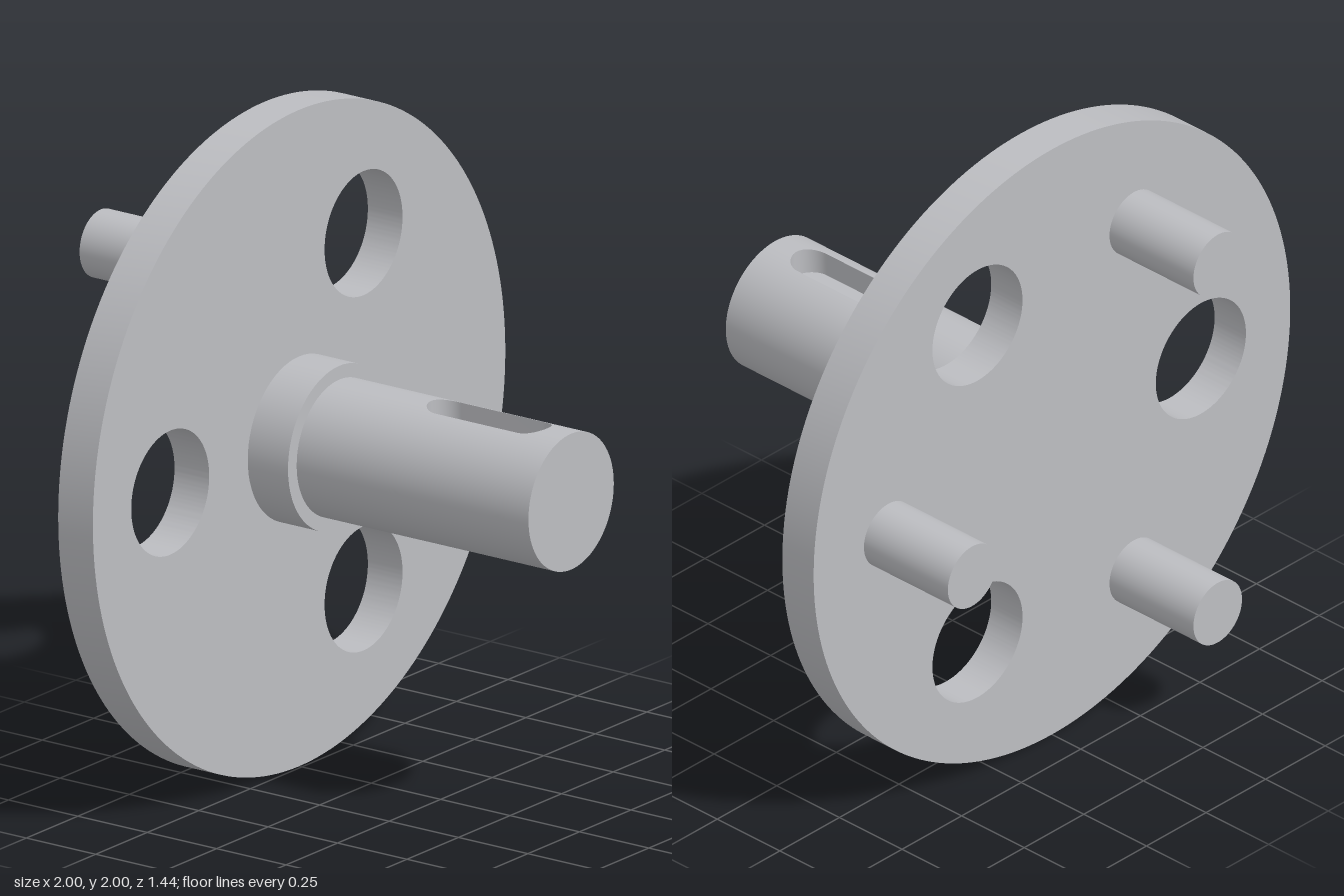
import * as THREE from 'three';
import { toCreasedNormals } from 'three/addons/utils/BufferGeometryUtils.js';

const AXIS_Y = 1;
const SHAFT_R = 0.207, SHAFT_BACK = -0.12, SHAFT_FRONT = 0.72;
const SLOT_HALF = 0.0625, SLOT_BACK = 0.215, SLOT_FRONT = 0.635, SLOT_FLOOR = 0.125;

// Surface through rows of points; each row lies at one depth z
function sheet(rows) {
  const n = rows[0].length, index = [];
  for (let i = 0; i < rows.length - 1; i++) {
    for (let j = 0; j < n - 1; j++) {
      const a = i * n + j, b = a + 1, c = a + n, d = c + 1;
      index.push(a, c, b, b, c, d);
    }
  }
  const geometry = new THREE.BufferGeometry().setFromPoints(rows.flat());
  geometry.setIndex(index);
  geometry.computeVertexNormals();
  return geometry;
}

// Half width of the round-ended keyway at depth z
function slotWidth(z) {
  const over = Math.max(SLOT_BACK + SLOT_HALF - z, z - SLOT_FRONT + SLOT_HALF, 0);
  return Math.sqrt(Math.max(0, SLOT_HALF ** 2 - over ** 2));
}

export function createModel() {
  const model = new THREE.Group();
  const steel = new THREE.MeshStandardMaterial({ color: 0xbcbdc1 });
  steel.name = 'steel grey';

  function add(name, geometry, parent = model) {
    const mesh = new THREE.Mesh(geometry, steel);
    mesh.name = name;
    parent.add(mesh);
    return mesh;
  }
  // Round bar along z between two depths
  function bar(name, radius, back, front, x = 0, y = 0) {
    const geometry = new THREE.CylinderGeometry(radius, radius, front - back, 64);
    geometry.rotateX(Math.PI / 2);
    return add(name, geometry).position.set(x, AXIS_Y + y, (front + back) / 2);
  }

  // Flange disc with three through holes
  const disc = new THREE.Shape().absarc(0, 0, 1, 0, Math.PI * 2);
  for (let k = 0; k < 3; k++) {
    const a = Math.PI / 3 + k * Math.PI * 2 / 3;
    const hole = new THREE.Path();
    hole.absarc(0.625 * Math.cos(a), 0.625 * Math.sin(a), 0.189, 0, Math.PI * 2, true);
    disc.holes.push(hole);
  }
  const discGeometry = new THREE.ExtrudeGeometry(disc, { depth: 0.125, bevelEnabled: false, curveSegments: 96 });
  add('flangeDisc', toCreasedNormals(discGeometry, 0.6)).position.set(0, AXIS_Y, -0.385);

  // Drive pins on the back, between the holes
  for (let k = 0; k < 3; k++) {
    const a = k * Math.PI * 2 / 3;
    bar('drivePin' + (k + 1), 0.102, -0.72, -0.38, 0.687 * Math.cos(a), 0.687 * Math.sin(a));
  }

  // Collar at the root of the shaft
  bar('collar', 0.249, -0.265, -0.115);

  // Shaft: skin left open along the keyway
  const shaft = new THREE.Group();
  shaft.name = 'shaft';
  shaft.position.y = AXIS_Y;
  model.add(shaft);

  const slotDepths = [];
  for (let i = 0; i <= 12; i++) slotDepths.push(SLOT_BACK + SLOT_HALF * (1 - Math.cos(i * Math.PI / 24)));
  for (let i = 12; i >= 0; i--) slotDepths.push(SLOT_FRONT - SLOT_HALF * (1 - Math.cos(i * Math.PI / 24)));

  const skin = sheet([SHAFT_BACK, ...slotDepths, SHAFT_FRONT].map((z) => {
    const start = Math.asin(slotWidth(z) / SHAFT_R), row = [];
    for (let j = 0; j <= 80; j++) {
      const a = start + (Math.PI * 2 - 2 * start) * j / 80;
      row.push(new THREE.Vector3(SHAFT_R * Math.sin(a), SHAFT_R * Math.cos(a), z));
    }
    return row;
  }));
  const p = skin.attributes.position;
  for (let i = 0; i < p.count; i++) {
    skin.attributes.normal.setXYZ(i, p.getX(i) / SHAFT_R, p.getY(i) / SHAFT_R, 0);
  }
  add('shaftSkin', skin, shaft);
  add('shaftEnd', new THREE.CircleGeometry(SHAFT_R, 80), shaft).position.z = SHAFT_FRONT;

  // Keyway walls and floor
  const corners = slotDepths.map((z) => {
    const w = slotWidth(z), top = Math.sqrt(SHAFT_R ** 2 - w ** 2);
    return [[-w, top], [-w, SLOT_FLOOR], [w, SLOT_FLOOR], [w, top]].map(([x, y]) => new THREE.Vector3(x, y, z));
  });
  ['keywayRightWall', 'keywayFloor', 'keywayLeftWall'].forEach((name, k) => {
    add(name, sheet(corners.map((row) => row.slice(k, k + 2))), shaft);
  });

  return model;
}
